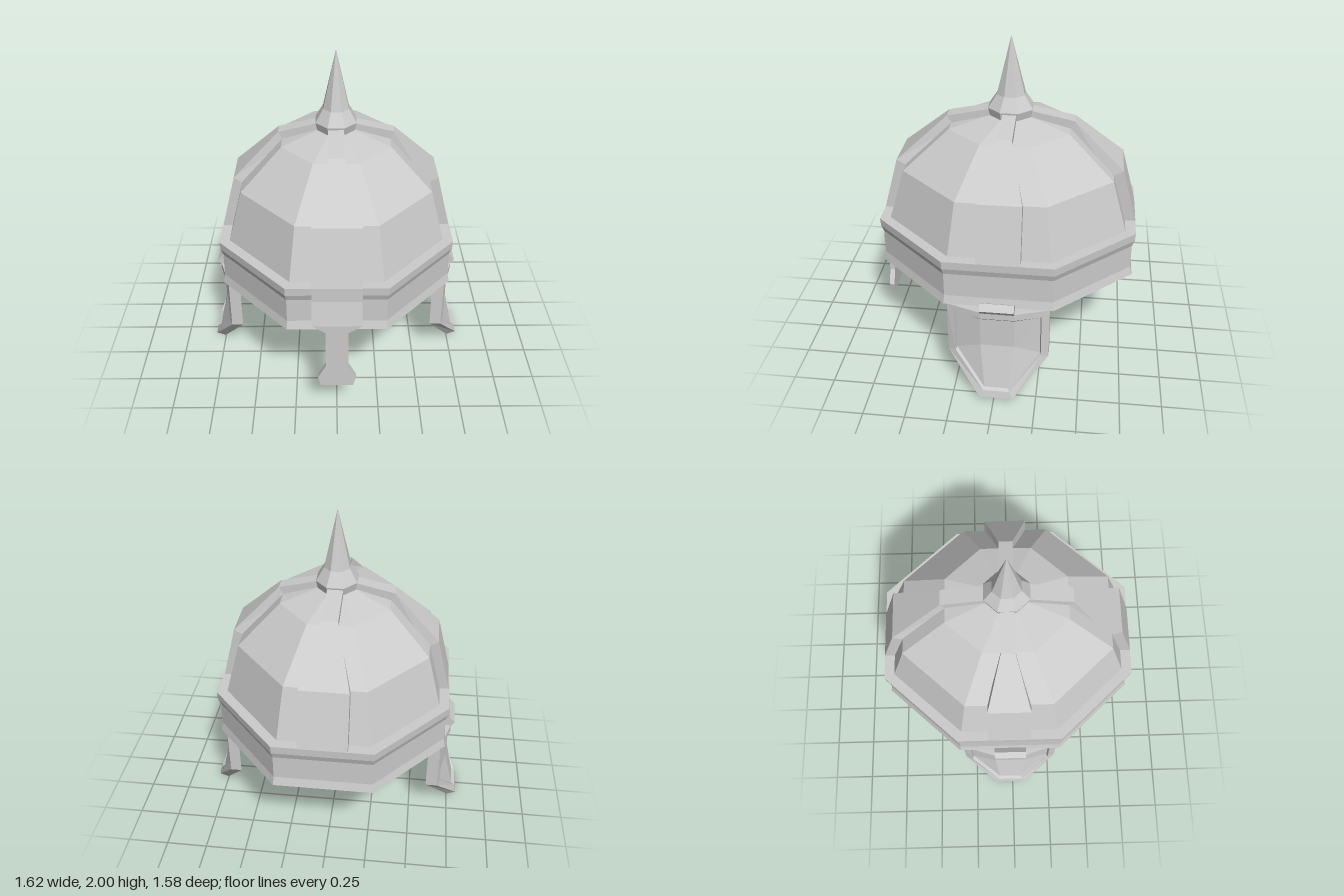
import * as THREE from 'three';

const material = new THREE.MeshStandardMaterial({ color: 0xcccccc, flatShading: true });
const CZ = -0.018; // z of the dome's axis

function addMesh(parent, name, geometry) {
  const geo = geometry.index ? geometry.toNonIndexed() : geometry;
  geo.computeVertexNormals();
  const mesh = new THREE.Mesh(geo, material);
  mesh.name = name;
  parent.add(mesh);
  return mesh;
}

// Eight-sided turned part; profile x is the distance to the flat sides.
function octagon(profile, depth) {
  const k = 1 / Math.cos(Math.PI / 8);
  const points = profile.map(([r, y]) => new THREE.Vector2(r * k, y));
  return new THREE.LatheGeometry(points, 8, Math.PI / 8).scale(1, 1, depth);
}

// Joins rings of equal length; caps are polygons that index the ring plus extra points.
function loft(rings, caps, firstExtra = [], lastExtra = []) {
  const n = rings[0].length;
  const pos = [];
  const polygon = (pts) => {
    for (let i = 1; i < pts.length - 1; i++) pos.push(...pts[0], ...pts[i], ...pts[i + 1]);
  };
  for (let r = 0; r < rings.length - 1; r++) {
    for (let i = 0; i < n; i++) {
      const j = (i + 1) % n;
      polygon([rings[r][i], rings[r][j], rings[r + 1][j], rings[r + 1][i]]);
    }
  }
  const first = [...rings[0], ...firstExtra];
  const last = [...rings[rings.length - 1], ...lastExtra];
  for (const cap of caps) {
    polygon(cap.map((i) => first[i]).reverse());
    polygon(cap.map((i) => last[i]));
  }
  const geo = new THREE.BufferGeometry();
  geo.setAttribute('position', new THREE.Float32BufferAttribute(pos, 3));
  return geo;
}

// Plate facing +z, from rows of [halfWidth, outerY, outerZ, innerY, innerZ], bottom to top.
function strip(rows) {
  const rings = rows.map(([w, yo, zo, yi, zi]) => [[-w, yo, zo], [w, yo, zo], [w, yi, zi], [-w, yi, zi]]);
  return loft(rings, [[0, 1, 2, 3]]);
}

// Cheek guard outline from four points of one half: top edge, top fold, low edge, bottom.
function cheekRing(edge, fold, low, bottom) {
  const m = ([x, y, z]) => [x, y, -z];
  return [m(edge), m(fold), fold, edge, low, bottom, m(bottom), m(low)];
}

// Folded plate with a raised frame around a sunken panel
function cheekPlate() {
  const back = cheekRing([0.60, 0.60, 0.3], [0.66, 0.60, 0.1], [0.60, 0.26, 0.3], [0.755, 0, 0.1]);
  const front = cheekRing([0.67, 0.60, 0.3], [0.735, 0.60, 0.1], [0.67, 0.26, 0.3], [0.81, 0.022, 0.1]);
  const inset = cheekRing([0.685, 0.557, 0.255], [0.735, 0.557, 0.1], [0.69, 0.275, 0.255], [0.80, 0.068, 0.078]);
  const floor = cheekRing([0.665, 0.54, 0.248], [0.718, 0.54, 0.1], [0.67, 0.28, 0.248], [0.78, 0.078, 0.072]);
  const facets = [[0, 1, 9, 7], [1, 2, 8, 9], [2, 3, 4, 8], [8, 4, 5], [9, 8, 5, 6], [7, 9, 6]];
  const folds = (x, y) => [[x, y, 0.1], [x, y, -0.1]];
  return loft([back, front, inset, floor], facets, folds(0.66, 0.32), folds(0.718, 0.35));
}

function hinge() {
  const shape = new THREE.Shape([
    [0.67, 0.60], [0.735, 0.595], [0.757, 0.625], [0.725, 0.66], [0.69, 0.635], [0.67, 0.635],
  ].map(([x, y]) => new THREE.Vector2(x, y)));
  return new THREE.ExtrudeGeometry(shape, { depth: 0.2, bevelEnabled: false }).translate(0, 0, -0.1);
}

export function createModel() {
  const helmet = new THREE.Group();
  helmet.name = 'helmet';

  // Bowl: rim band, dome, inner lining and spike
  const bowl = new THREE.Group();
  bowl.name = 'bowl';
  bowl.position.z = CZ;
  helmet.add(bowl);
  addMesh(bowl, 'rimBand', octagon([
    [0.64, 0.617], [0.696, 0.617], [0.684, 0.67], [0.684, 0.82],
    [0.697, 0.86], [0.699, 0.91], [0.635, 0.91],
  ], 1.104));
  addMesh(bowl, 'dome', octagon([
    [0.64, 0.91], [0.56, 1.22], [0.32, 1.46], [0.08, 1.53], [0, 1.53],
  ], 1.11));
  addMesh(bowl, 'lining', octagon([
    [0, 1.24], [0.22, 1.21], [0.47, 1.05], [0.64, 0.617],
  ], 1.104));
  addMesh(bowl, 'spike', octagon([
    [0, 1.5], [0.1, 1.5], [0.11, 1.52], [0.12, 1.57], [0.075, 1.65], [0, 2],
  ], 1.1));

  // Four ribs running up to the spike
  for (let i = 0; i < 4; i++) {
    const side = i % 2;
    const geo = strip([
      [0.142, 0.91, 0.773, 0.90, 0.69],
      [0.142, 1.245, 0.68, 1.20, 0.60],
      [0.046, 1.507, 0.38, 1.44, 0.34],
      [0.046, 1.565, 0.10, 1.50, 0.10],
    ]).scale(side ? 0.89 : 1, 1, side ? 0.9 : 1);
    addMesh(bowl, 'rib', geo).rotation.y = i * Math.PI / 2;
  }

  // Nose guard, continuing the front rib
  addMesh(helmet, 'noseGuard', strip([
    [0.095, 0.22, 0.787], [0.112, 0.28, 0.787], [0.065, 0.37, 0.787], [0.065, 0.62, 0.787],
    [0.142, 0.67, 0.787, 0.73], [0.142, 0.82, 0.757, 0.73], [0.142, 0.91, 0.756, 0.73],
  ].map(([w, y, zo, zi = 0.755]) => [w, y, zo, y, zi])));

  // Cheek guards, alike on both sides by a half turn
  for (const [name, turn] of [['leftCheekGuard', 0], ['rightCheekGuard', Math.PI]]) {
    const guard = new THREE.Group();
    guard.name = name;
    guard.position.z = -0.015;
    guard.rotation.y = turn;
    addMesh(guard, 'cheekPlate', cheekPlate());
    addMesh(guard, 'hinge', hinge());
    helmet.add(guard);
  }
  return helmet;
}
